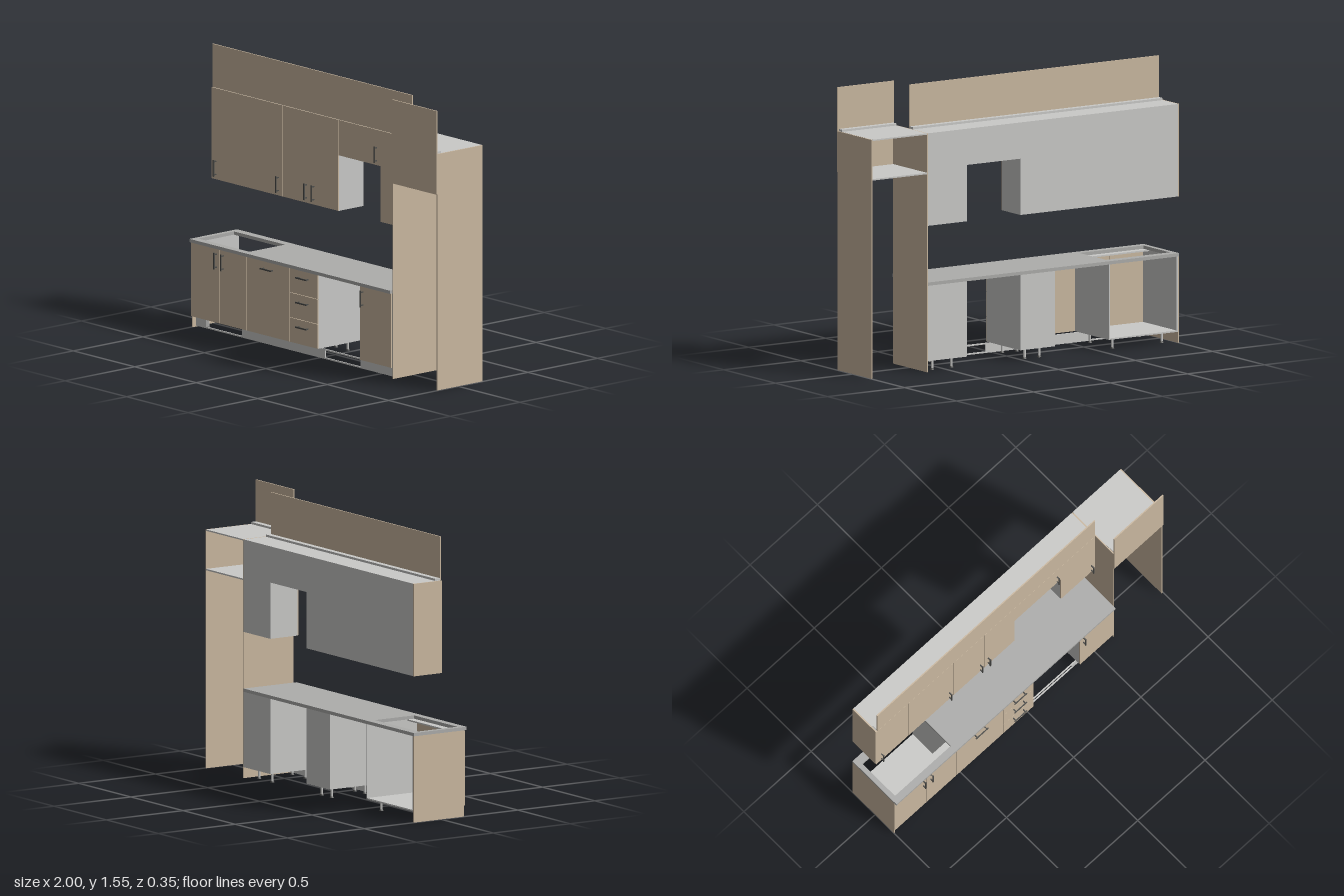
import * as THREE from 'three';

const mat = (name, color) => {
  const m = new THREE.MeshStandardMaterial({ color });
  m.name = name;
  return m;
};

export function createModel() {
  const root = new THREE.Group();
  root.name = 'fittedKitchen';
  const wood = mat('lightWood', 0xcbb9a1);
  const board = mat('paleGreyBoard', 0xcacac8);
  const stone = mat('greyWorktop', 0xadadab);
  const metal = mat('darkMetal', 0x4c4c4a);

  // Box given by its low and high limits on each axis
  const box = (name, m, x0, x1, y0, y1, z0, z1, parent = root) => {
    const mesh = new THREE.Mesh(new THREE.BoxGeometry(x1 - x0, y1 - y0, z1 - z0), m);
    mesh.position.set((x0 + x1) / 2, (y0 + y1) / 2, (z0 + z1) / 2);
    mesh.name = name;
    parent.add(mesh);
    return mesh;
  };

  // Rectangular slab with rectangular cut-outs, extruded by depth
  const slab = (x0, x1, y0, y1, depth, holes) => {
    const rect = (T, a, b, c, d) => {
      const p = new T();
      p.moveTo(a, c);
      p.lineTo(b, c);
      p.lineTo(b, d);
      p.lineTo(a, d);
      p.closePath();
      return p;
    };
    const s = rect(THREE.Shape, x0, x1, y0, y1);
    holes.forEach((h) => s.holes.push(rect(THREE.Path, ...h)));
    return new THREE.ExtrudeGeometry(s, { depth, bevelEnabled: false });
  };

  // Bar handle on two posts, standing off a door face at z
  const handle = (x, y, z, vertical) => {
    const g = new THREE.Group();
    g.name = 'handle';
    g.position.set(x, y, z);
    if (!vertical) g.rotation.z = Math.PI / 2;
    box('handleBar', metal, -0.004, 0.004, -0.046, 0.046, 0.017, 0.022, g);
    for (const s of [-1, 1]) {
      box('handlePost', metal, -0.003, 0.003, s * 0.036 - 0.003, s * 0.036 + 0.003, 0, 0.018, g);
    }
    root.add(g);
  };

  const BACK = -0.177, FRONT = 0.148, FACE = 0.155, T = 0.007, GAP = 0.0012;
  const door = (name, x0, x1, y0, y1, z) =>
    box(name, wood, x0 + GAP, x1 - GAP, y0 + GAP, y1 - GAP, z, z + T);

  // Worktop with sink cut-out
  const top = new THREE.Mesh(slab(-1, 0.63, -0.166, 0.177, 0.018, [[-0.972, -0.557, -0.125, 0.13]]), stone);
  top.rotation.x = -Math.PI / 2;
  top.position.y = 0.472;
  top.name = 'worktop';
  root.add(top);

  // Plinth with two vent openings
  const plinth = new THREE.Mesh(
    slab(-0.993, 0.63, 0.005, 0.06, T, [[-0.908, -0.62, 0.013, 0.052], [0.056, 0.346, 0.013, 0.052]]), board);
  plinth.position.z = 0.118;
  plinth.name = 'plinth';
  root.add(plinth);

  // Base cabinets: open sink unit, drawer unit, end unit
  box('baseEndPanel', wood, -1, -0.993, 0, 0.472, BACK, FRONT);
  box('sinkUnitSide', board, -0.993, -0.985, 0.06, 0.472, BACK, FRONT);
  box('sinkUnitSide', board, -0.553, -0.545, 0.06, 0.472, BACK, FRONT);
  box('sinkUnitFloor', board, -0.985, -0.553, 0.06, 0.068, BACK, FRONT);
  box('sinkUnitRail', board, -0.985, -0.553, 0.464, 0.472, 0.085, FRONT);
  box('drawerUnit', board, -0.195, 0.03, 0.06, 0.472, BACK, FRONT);
  box('endUnit', board, 0.375, 0.63, 0.06, 0.472, BACK, FRONT);

  // Base fronts
  door('sinkDoor', -1, -0.765, 0.06, 0.472, FRONT);
  door('sinkDoor', -0.765, -0.545, 0.06, 0.472, FRONT);
  door('applianceFront', -0.545, -0.195, 0.06, 0.472, FRONT);
  [[0.06, 0.197], [0.197, 0.335], [0.335, 0.472]].forEach(([a, b]) => door('drawerFront', -0.195, 0.03, a, b, FRONT));
  door('endUnitDoor', 0.375, 0.63, 0.06, 0.472, FRONT);
  [-0.79, -0.735, 0.4].forEach((x) => handle(x, 0.405, FACE, true));
  handle(-0.37, 0.43, FACE, false);
  [0.43, 0.293, 0.157].forEach((y) => handle(-0.083, y, FACE, false));

  // Adjustable feet
  for (const x of [-0.925, -0.605, -0.13, -0.035, 0.44, 0.565]) {
    for (const z of [-0.12, 0.095]) {
      const foot = new THREE.Group();
      foot.name = 'foot';
      [[0.007, 0.007, 0.052, 0.034, board], [0.008, 0.012, 0.008, 0.004, metal]].forEach(([rt, rb, h, y, m]) => {
        const c = new THREE.Mesh(new THREE.CylinderGeometry(rt, rb, h, 16), m);
        c.position.y = y;
        c.name = 'footPart';
        foot.add(c);
      });
      foot.position.set(x, 0, z);
      root.add(foot);
    }
  }

  // Wall cabinets
  box('wallEndPanel', wood, -1, -0.993, 0.8, 1.306, BACK, 0);
  const wallUnits = [[-0.993, -0.425, 0.8], [-0.425, -0.195, 0.8], [-0.195, 0.03, 0.8], [0.03, 0.375, 1.108], [0.375, 0.63, 0.8]];
  wallUnits.forEach(([a, b, y]) => box('wallUnit', board, a, b, y, 1.306, BACK, 0));
  const wallDoors = [[-1, -0.76, 0.8], [-0.76, -0.425, 0.8], ...wallUnits.slice(1)];
  wallDoors.forEach(([a, b, y]) => door('wallDoor', a, b, y, 1.306, 0));
  [-0.962, -0.455, -0.225, -0.167, 0.6].forEach((x) => handle(x, 0.865, T, true));
  handle(0.345, 1.17, T, true);

  // Fascia up to the ceiling with its fixing strip
  box('wallFascia', wood, -0.99, 0.63, 1.308, 1.546, 0, T);
  box('fasciaStrip', board, -0.99, 0.63, 1.306, 1.318, -0.032, 0);

  // Tall surround with an open-backed compartment on top
  box('tallPanel', wood, 0.63, 0.637, 0, 1.306, BACK, FRONT);
  box('tallPanel', wood, 0.99, 0.997, 0, 1.306, BACK, FRONT);
  box('compartmentTop', board, 0.637, 0.99, 1.299, 1.3065, BACK, FRONT);
  box('compartmentFloor', board, 0.637, 0.99, 1.083, 1.091, BACK, FRONT);
  box('tallFascia', wood, 0.631, 0.997, 1.083, 1.546, FRONT, FACE);
  box('tallFasciaStrip', board, 0.637, 0.99, 1.3065, 1.318, 0.116, FRONT);

  return root;
}
